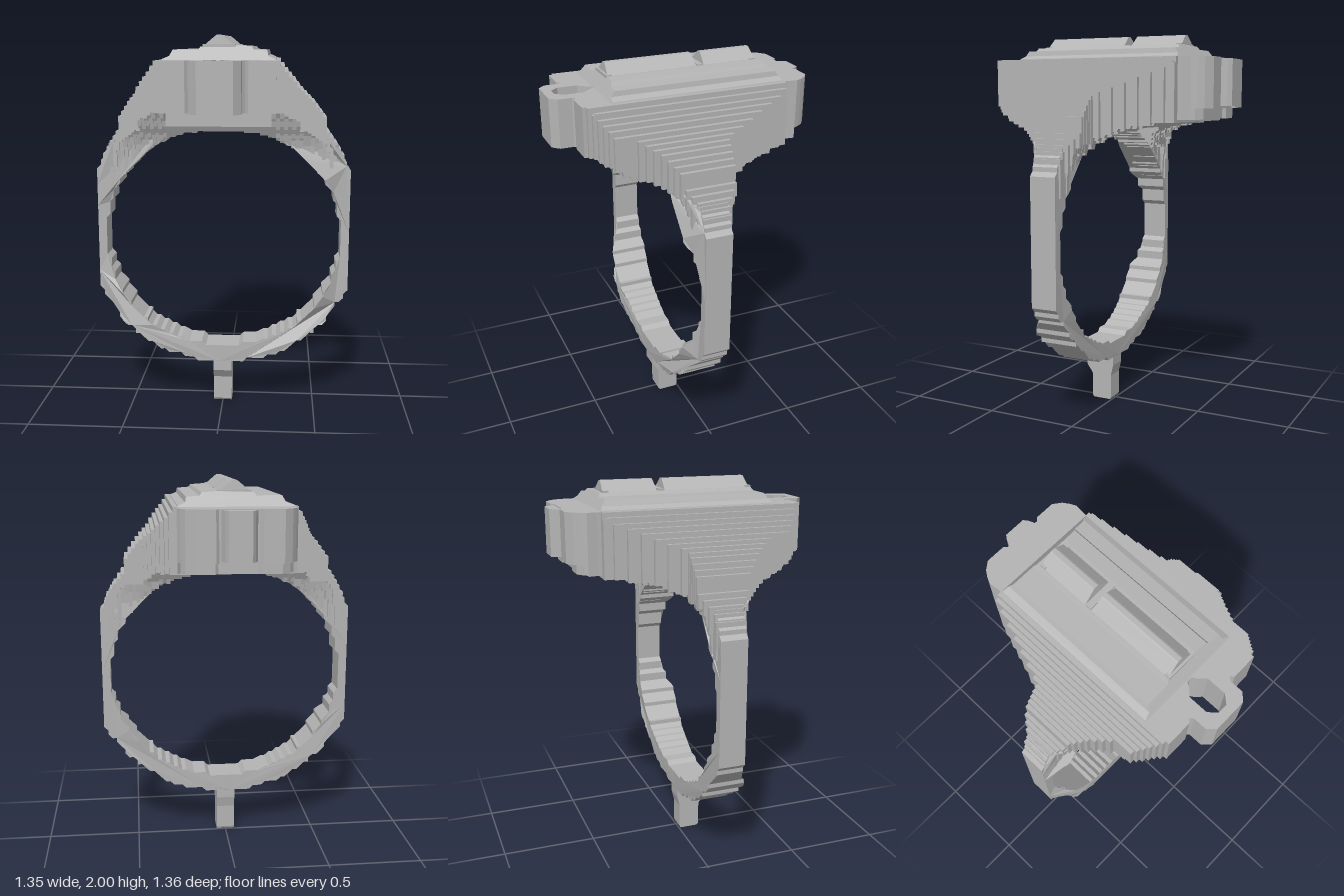
import * as THREE from 'three';

const metal = new THREE.MeshStandardMaterial({ color: 0xb4b4b4 });
metal.name = 'grey metal';

// Piecewise linear lookup in a short [position, value] list
function lerp(list, t) {
  if (t <= list[0][0]) return list[0][1];
  for (let i = 1; i < list.length; i++) {
    const [a, va] = list[i - 1], [b, vb] = list[i];
    if (t <= b) return va + (vb - va) * (t - a) / (b - a);
  }
  return list[list.length - 1][1];
}
const snap = (v, s) => Math.round(v / s) * s;
const shapeOf = pts => new THREE.Shape(pts.map(p => new THREE.Vector2(p[0], p[1])));
const mirrored = half => [...half, ...half.map(([x, y]) => [-x, y]).reverse()];

function add(parent, name, geometry) {
  const mesh = new THREE.Mesh(geometry, metal);
  mesh.name = name;
  parent.add(mesh);
  return mesh;
}
const extrude = (shape, depth) => new THREE.ExtrudeGeometry(shape, { depth, bevelEnabled: false });
// Side profile (z, y) carried from x0 to x1
const sideSlab = (pts, x0, x1) => extrude(shapeOf(pts), x1 - x0).rotateY(-Math.PI / 2).translate(x1, 0, 0);
// Plan (x, z) carried from y0 up to y1
const planSlab = (shape, y0, y1) => extrude(shape, y1 - y0).rotateX(Math.PI / 2).translate(0, y1, 0);

// Head: top height, back and front limits by distance from the middle, underside by z
const topY = [[0, 1.88], [0.29, 1.88], [0.31, 1.85], [0.37, 1.78], [0.4, 1.74], [0.47, 1.67],
  [0.53, 1.59], [0.55, 1.51], [0.6, 1.44], [0.68, 1.3]];
const backZ = [[0, -0.48], [0.315, -0.48], [0.36, -0.34], [0.4, -0.22], [0.44, -0.1], [0.55, -0.09], [0.61, -0.03]];
const frontZ = [[0.27, 0.57], [0.4, 0.45], [0.41, 0.35], [0.47, 0.26], [0.52, 0.2], [0.6, 0.12]];
const underY = [[-0.64, 1.63], [-0.55, 1.57], [-0.4, 1.56], [-0.2, 1.52], [-0.09, 1.47], [-0.04, 1.4], [-0.02, 1.2],
  [0.12, 1.2], [0.14, 1.4], [0.18, 1.46], [0.25, 1.51], [0.32, 1.53], [0.38, 1.54], [0.46, 1.6], [0.52, 1.63]];

function headSlab(x0, x1) {
  const x = (x0 + x1) / 2;
  const top = lerp(topY, x), back = lerp(backZ, x);
  const front = x < 0.27 ? 0.425 : lerp(frontZ, x);
  const bore = 0.935 + 0.6 * Math.sqrt(Math.max(0, 1 - (x / 0.64) ** 2));
  const pts = [[front, top], [back, top]];
  const n = Math.max(3, Math.round((front - back) / 0.035));
  for (let i = 0; i < n; i++) {
    const z0 = back + (front - back) * i / n, z1 = back + (front - back) * (i + 1) / n;
    const y = Math.min(top - 0.01, snap(Math.max(bore, lerp(underY, (z0 + z1) / 2)), 0.015));
    pts.push([z0 + 0.004, y], [z1 - 0.004, y]);
  }
  pts[2][0] = back;
  pts[pts.length - 1][0] = front;
  return pts;
}

// Walk along an outline and snap it to a coarse grid for the stepped look
function steppedLoop(pts, count, grid) {
  const out = [];
  const path = new THREE.CurvePath();
  pts.forEach((p, i) => {
    const q = pts[(i + 1) % pts.length];
    path.add(new THREE.LineCurve(new THREE.Vector2(...p), new THREE.Vector2(...q)));
  });
  for (let i = 0; i < count; i++) {
    const p = path.getPoint(i / count);
    const q = [snap(p.x, grid), snap(p.y, grid)];
    const last = out[out.length - 1];
    if (!last || Math.hypot(q[0] - last[0], q[1] - last[1]) > 0.001) out.push(q);
  }
  const a = out[0], b = out[out.length - 1];
  if (Math.hypot(a[0] - b[0], a[1] - b[1]) < 0.001) out.pop();
  return out;
}

function buildBand() {
  const half = [[0.05, 0.24], [0.2, 0.27], [0.34, 0.32], [0.42, 0.38], [0.52, 0.46], [0.6, 0.55], [0.675, 0.66],
    [0.675, 1.3], [0.61, 1.42], [0.55, 1.48], [0.42, 1.6], [0.2, 1.68]];
  const shape = shapeOf(steppedLoop(mirrored(half), 190, 0.0225));
  const bore = [];
  for (let i = 0; i < 72; i++) {
    const a = i / 72 * Math.PI * 2;
    bore.push([0.632 * Math.cos(a), 0.937 + 0.597 * Math.sin(a)]);
  }
  shape.holes.push(new THREE.Path(steppedLoop(bore, 150, 0.0225).map(p => new THREE.Vector2(...p))));
  const geo = extrude(shape, 1);
  // Band narrows towards its left and right sides
  const zFront = [[0, 0.16], [0.3, 0.165], [0.4, 0.18], [0.55, 0.18], [0.61, 0.12]];
  const zBack = [[0, -0.01], [0.4, -0.02], [0.55, -0.03], [0.61, -0.02]];
  const p = geo.attributes.position;
  for (let i = 0; i < p.count; i++) {
    p.setZ(i, lerp(p.getZ(i) > 0.5 ? zFront : zBack, Math.abs(p.getX(i))));
  }
  geo.computeVertexNormals();
  return geo;
}

// Front-facing profile (x, y) carried along z, its ends leaning in with height
function roofPiece(pts, z0, z1, lean, baseY) {
  const geo = extrude(shapeOf(pts), z1 - z0).translate(0, 0, z0);
  const p = geo.attributes.position, mid = (z0 + z1) / 2;
  for (let i = 0; i < p.count; i++) {
    const z = p.getZ(i);
    p.setZ(i, z - Math.sign(z - mid) * lean * (p.getY(i) - baseY));
  }
  geo.computeVertexNormals();
  return geo;
}

export function createModel() {
  const ring = new THREE.Group();
  ring.name = 'ring';

  add(ring, 'band', buildBand());

  // Peg below the band
  add(ring, 'peg', sideSlab([[0.01, 0], [0.11, 0], [0.12, 0.012], [0.12, 0.14], [0.155, 0.19], [0.155, 0.3],
    [-0.01, 0.3], [-0.01, 0.2], [0.005, 0.14], [0.005, 0.012]], -0.05, 0.05));

  // Stepped head and shoulders, mirrored left and right
  const head = new THREE.Group();
  head.name = 'head';
  ring.add(head);
  const step = 0.02;
  for (let i = 0; i < 32; i++) {
    const x0 = i * step, x1 = x0 + step, pts = headSlab(x0, x1);
    add(head, 'headStepLeft', sideSlab(pts, x0, x1));
    add(head, 'headStepRight', sideSlab(pts, -x1, -x0));
  }

  // Front plate with the pierced loop
  const front = shapeOf(mirrored([[0.28, 0.41], [0.28, 0.555], [0.265, 0.57], [0.15, 0.57], [0.135, 0.555],
    [0.12, 0.57], [0.12, 0.64], [0.085, 0.675]]));
  front.holes.push(new THREE.Path(mirrored([[0.012, 0.43], [0.03, 0.46], [0.06, 0.49], [0.06, 0.59], [0.025, 0.63]])
    .map(p => new THREE.Vector2(...p))));
  add(head, 'frontPlate', planSlab(front, 1.635, 1.88));

  // Back plate with rounded corners and a middle boss
  const backPlan = inset => shapeOf(mirrored([[0.28, -0.46], [0.28, -0.5], [0.285, -0.55], [0.27, -0.58 + inset],
    [0.25, -0.61 + inset], [0.21, -0.64 + inset], [0.11, -0.64 + inset], [0.095, -0.625 + inset]]));
  add(head, 'backPlate', planSlab(backPlan(0), 1.63, 1.88));
  add(head, 'backPlateFoot', planSlab(backPlan(0.05), 1.575, 1.64));
  add(head, 'backBoss', planSlab(shapeOf(mirrored([[0.095, -0.6], [0.07, -0.66], [0.055, -0.68]])), 1.64, 1.875));

  // Stepped roof on top of the head
  add(head, 'roof', roofPiece([[0.28, 1.87], [0.275, 1.885], [0.24, 1.9], [0.235, 1.925], [0.17, 1.93], [0.16, 1.945],
    [0.09, 1.95], [-0.09, 1.945], [-0.1, 1.93], [-0.225, 1.93], [-0.24, 1.9], [-0.275, 1.885], [-0.28, 1.87]],
    -0.485, 0.435, 0.7, 1.87));

  // Ridge in two lengths with a gap between, and small end bars
  const ridge = [[0.085, 1.94], [0.02, 1.995], [0.012, 2], [-0.012, 2], [-0.02, 1.995], [-0.085, 1.94]];
  for (const [z0, z1] of [[-0.415, -0.13], [-0.09, 0.375]]) {
    add(head, 'ridge', roofPiece(ridge, z0, z1, 0.1, 1.94));
  }
  for (const z of [-0.4, -0.11, 0.37]) {
    const bar = add(head, 'ridgeBar', new THREE.BoxGeometry(0.16, 0.02, 0.03));
    bar.position.set(0, 1.945, z);
  }

  // Rails along the upper edges
  for (const s of [-1, 1]) {
    const rail = add(head, 'edgeRail', new THREE.BoxGeometry(0.02, 0.02, 0.99));
    rail.position.set(s * 0.31, 1.845, 0.025);
  }
  return ring;
}
